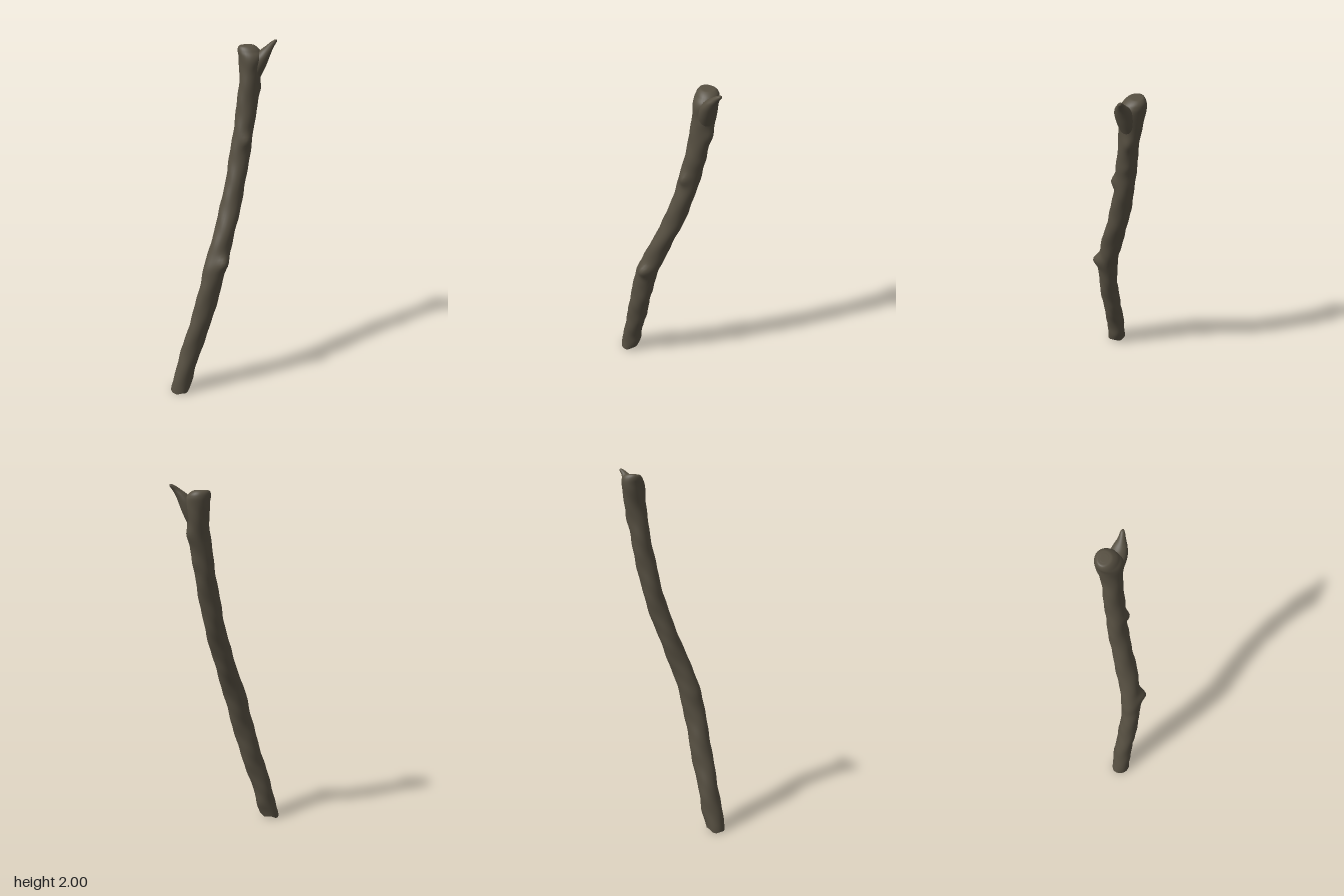
import * as THREE from 'three';

const SIDES = 28;

// Closed, smooth skin over horizontal rings. Each section: [y, centreX, centreZ, radiusX, radiusZ]
function loft(sections, steps, deform) {
  const path = new THREE.CatmullRomCurve3(sections.map(s => new THREE.Vector3(s[1], s[0], s[2])), false, 'catmullrom', 0.5);
  const size = new THREE.CatmullRomCurve3(sections.map(s => new THREE.Vector3(s[3], s[4], 0)), false, 'catmullrom', 0.5);
  const pos = [], index = [];
  for (let i = 0; i <= steps; i++) {
    const c = path.getPoint(i / steps), r = size.getPoint(i / steps);
    for (let j = 0; j < SIDES; j++) {
      const a = (j / SIDES) * Math.PI * 2;
      const p = new THREE.Vector3(c.x + r.x * Math.cos(a), c.y, c.z + r.y * Math.sin(a));
      if (deform) deform(p, a, i);
      pos.push(p.x, p.y, p.z);
      if (i < steps) {
        const k = i * SIDES + j, n = i * SIDES + (j + 1) % SIDES;
        index.push(k, k + SIDES, n, n, k + SIDES, n + SIDES);
      }
    }
  }
  // rounded-off top
  const top = path.getPoint(1), apex = pos.length / 3, last = steps * SIDES;
  pos.push(top.x, top.y, top.z);
  for (let j = 0; j < SIDES; j++) index.push(apex, last + (j + 1) % SIDES, last + j);
  const g = new THREE.BufferGeometry();
  g.setAttribute('position', new THREE.Float32BufferAttribute(pos, 3));
  g.setIndex(index);
  g.computeVertexNormals();
  return g;
}

// Knots: [x, y, z, pushX, pushY, pushZ, spread]
const KNOTS = [
  [-0.055, 0.82, 0.115, 0, 0.01, 0.034, 0.03],
  [0.145, 1.48, 0.02, 0, 0, 0.02, 0.025],
  [0.265, 1.74, -0.05, 0.014, 0, 0.004, 0.03],
  [0.225, 1.59, -0.045, 0.008, 0, 0, 0.025],
  [-0.135, 0.78, 0.06, -0.008, 0, 0, 0.035],
  [-0.21, 0.09, 0.0, 0.01, 0, 0, 0.035],
  [0.21, 1.85, 0.01, 0, 0, -0.008, 0.03],
];

function barkShape(p, a, i) {
  const y = p.y;
  // gentle unevenness
  const w = 0.0018 * Math.sin(y * 23 + 2 * a) + 0.0012 * Math.sin(y * 51 - 3 * a);
  p.x += w * Math.cos(a);
  p.z += w * Math.sin(a);
  const base = p.clone();
  for (const [x, ky, z, dx, dy, dz, s] of KNOTS) {
    const d2 = (base.x - x) ** 2 + (base.y - ky) ** 2 + (base.z - z) ** 2;
    const f = Math.exp(-d2 / (2 * s * s));
    p.x += dx * f; p.y += dy * f; p.z += dz * f;
  }
  // ragged broken foot
  if (i === 0) p.y = Math.max(0, 0.008 - 0.009 * Math.cos(a + Math.PI) + 0.005 * Math.sin(4 * a));
}

export function createModel() {
  const group = new THREE.Group();
  const bark = new THREE.MeshStandardMaterial({ color: 0x575042 });
  bark.name = 'bark';

  const add = (name, geometry) => {
    const m = new THREE.Mesh(geometry, bark);
    m.name = name;
    group.add(m);
    return m;
  };

  // Main stick
  const stick = loft([
    [0.01, -0.288, 0.006, 0.052, 0.055],
    [0.2, -0.238, 0.016, 0.058, 0.054],
    [0.4, -0.178, 0.037, 0.063, 0.054],
    [0.6, -0.125, 0.055, 0.064, 0.054],
    [0.8, -0.07, 0.055, 0.064, 0.056],
    [1.0, 0.003, 0.03, 0.059, 0.059],
    [1.2, 0.075, -0.005, 0.057, 0.056],
    [1.4, 0.128, -0.032, 0.057, 0.053],
    [1.6, 0.168, -0.047, 0.056, 0.052],
    [1.78, 0.197, -0.058, 0.057, 0.055],
    [1.9, 0.207, -0.066, 0.062, 0.068],
    [1.945, 0.204, -0.08, 0.058, 0.058],
    [1.968, 0.198, -0.088, 0.042, 0.04],
    [1.972, 0.198, -0.09, 0.02, 0.02],
  ], 156, barkShape);
  add('stick', stick);

  // Broken face closing the foot
  const p = stick.attributes.position, foot = [-0.288, 0.016, 0.006], faces = [];
  for (let j = 0; j < SIDES; j++) {
    foot.push(p.getX(j), p.getY(j), p.getZ(j));
    faces.push(0, j + 1, (j + 1) % SIDES + 1);
  }
  const cap = new THREE.BufferGeometry();
  cap.setAttribute('position', new THREE.Float32BufferAttribute(foot, 3));
  cap.setIndex(faces);
  cap.computeVertexNormals();
  add('brokenFoot', cap);

  // Snapped-off twig at the top
  add('topSpur', loft([
    [1.8, 0.218, -0.052, 0.035, 0.035],
    [1.86, 0.235, -0.04, 0.041, 0.044],
    [1.91, 0.252, -0.03, 0.04, 0.044],
    [1.945, 0.272, -0.022, 0.033, 0.034],
    [1.97, 0.295, -0.016, 0.024, 0.02],
    [1.99, 0.317, -0.014, 0.017, 0.012],
    [2.0, 0.327, -0.013, 0.007, 0.006],
  ], 36));

  return group;
}
